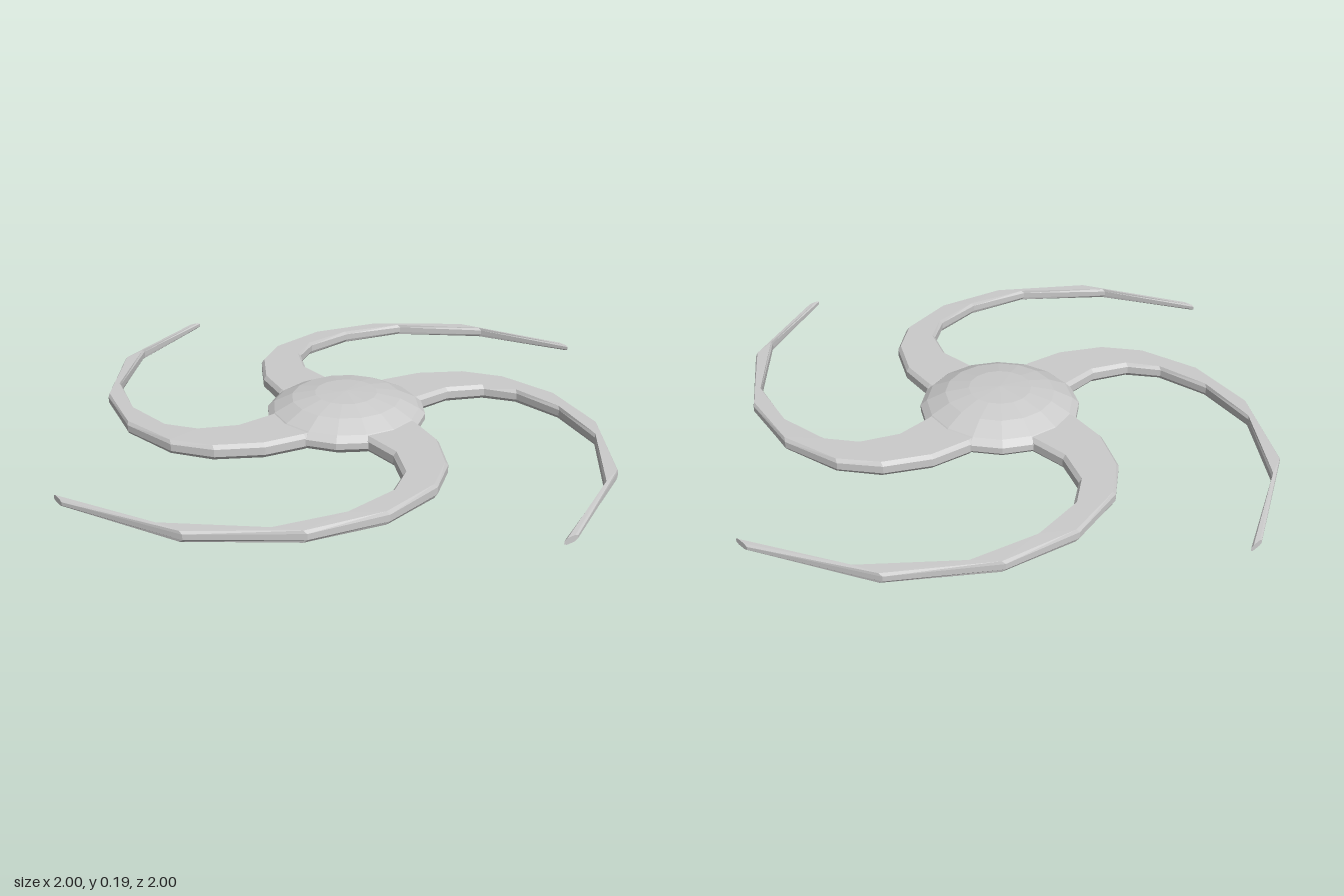
import * as THREE from 'three';

const MID = 0.093; // height of the horizontal symmetry plane

// Arm stations: outer x, outer z, inner x, inner z, half height
const STATIONS = [
  [0.03, -0.2, 0.2, -0.03, 0.031],
  [0.115, -0.283, 0.283, -0.115, 0.031],
  [0.25, -0.37, 0.385, -0.215, 0.03],
  [0.43, -0.412, 0.53, -0.26, 0.029],
  [0.597, -0.383, 0.66, -0.23, 0.027],
  [0.8, -0.24, 0.82, -0.09, 0.025],
  [0.952, 0.01, 0.94, 0.14, 0.022],
  [1.0, 0.4, 0.945, 0.51, 0.02],
  [0.835, 0.85, 0.79, 0.892, 0.012],
];

// Eight-sided bevelled section spanning the outer and inner edge
function section([ox, oz, ix, iz, h]) {
  const t = Math.min(0.013 / Math.hypot(ix - ox, iz - oz), 0.25);
  const ring = [[t, 1], [1 - t, 1], [1, 0.5], [1, -0.5], [1 - t, -1], [t, -1], [0, -0.5], [0, 0.5]];
  return ring.map(([s, k]) => [ox + (ix - ox) * s, MID + h * k, oz + (iz - oz) * s]);
}

function armGeometry() {
  const rings = STATIONS.map(section);
  const n = rings[0].length;
  const pos = [];
  for (let i = 0; i < rings.length - 1; i++) {
    for (let j = 0; j < n; j++) {
      const k = (j + 1) % n;
      const a = rings[i][j], b = rings[i][k], c = rings[i + 1][k], d = rings[i + 1][j];
      pos.push(...a, ...b, ...d, ...b, ...c, ...d);
    }
  }
  // Close the tip
  const tip = rings[rings.length - 1];
  for (let j = 1; j < n - 1; j++) pos.push(...tip[0], ...tip[j], ...tip[j + 1]);
  const geo = new THREE.BufferGeometry();
  geo.setAttribute('position', new THREE.Float32BufferAttribute(pos, 3));
  geo.computeVertexNormals();
  return geo;
}

export function createModel() {
  const group = new THREE.Group();
  const material = new THREE.MeshStandardMaterial({ color: 0xcccccc, flatShading: true });

  // Lens-shaped hub, mirrored above and below its rim
  const upper = [[0.307, 0.012], [0.282, 0.034], [0.21, 0.07], [0.12, 0.088], [0, 0.093]];
  const profile = [
    ...upper.slice().reverse().map(([r, y]) => new THREE.Vector2(r, MID - y)),
    ...upper.map(([r, y]) => new THREE.Vector2(r, MID + y)),
  ];
  const hub = new THREE.Mesh(new THREE.LatheGeometry(profile, 16), material);
  hub.name = 'hub';
  group.add(hub);

  // Four curved blades around the hub
  const blade = armGeometry();
  for (let i = 0; i < 4; i++) {
    const mesh = new THREE.Mesh(blade, material);
    mesh.name = `curvedBlade${i + 1}`;
    mesh.rotation.y = (i * Math.PI) / 2;
    group.add(mesh);
  }
  return group;
}
